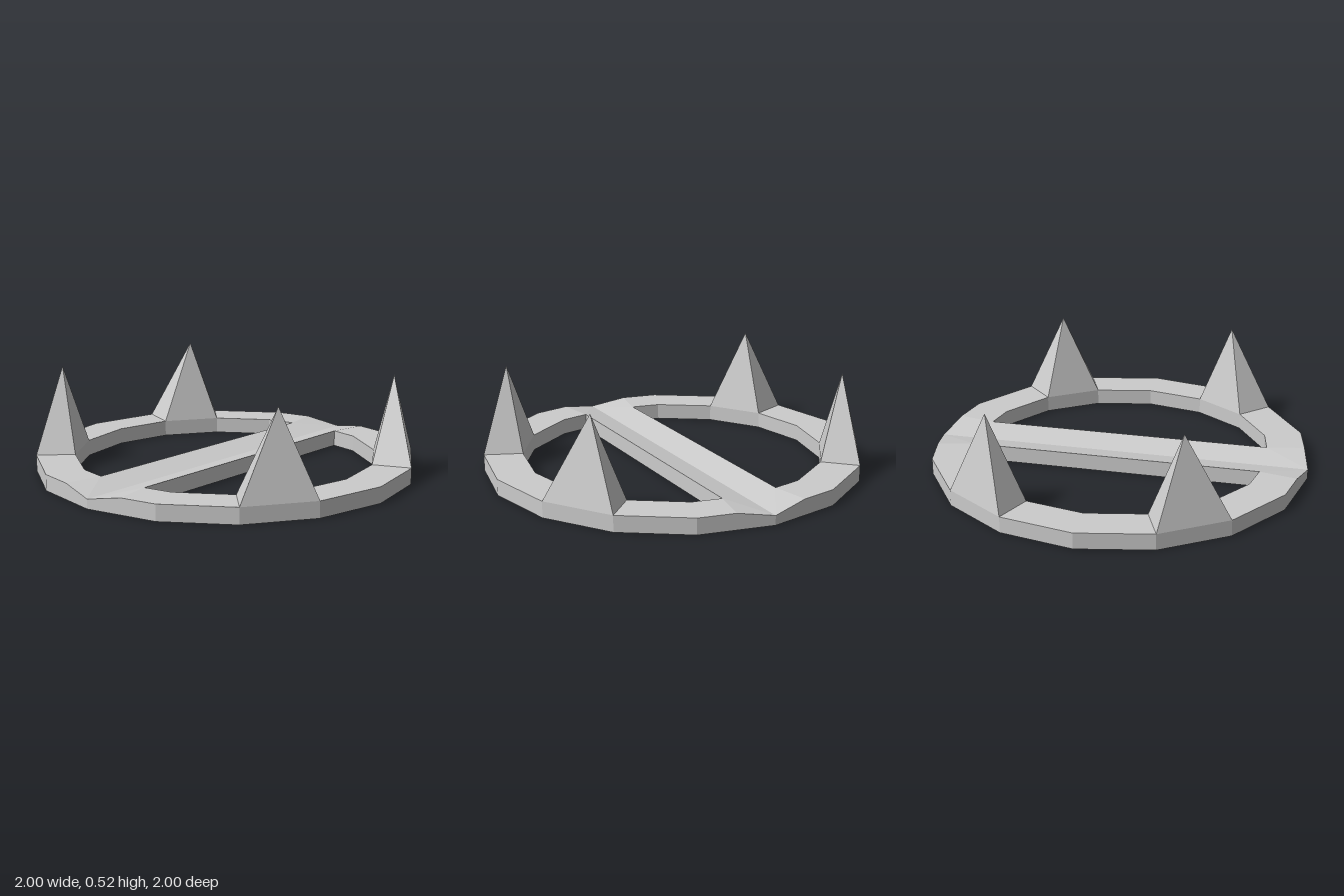
import * as THREE from 'three';

const OUTER = 1, INNER = 0.795, TOP = 0.085, DIP = 0.05, SPIKE = 0.525;
const SIDES = 16, STEPS = SIDES * 2; // each side is split at its middle

// Point on a 16-sided polygon; odd steps are the middles of its sides
function ringPoint(step, radius, y) {
  const angle = (step / STEPS) * Math.PI * 2;
  const r = step % 2 ? radius * Math.cos(Math.PI / SIDES) : radius;
  return new THREE.Vector3(r * Math.cos(angle), y, r * Math.sin(angle));
}

// The ring's top sinks where the groove of the crossbar meets it
const topY = (step) => (step % (STEPS / 2) === 0 ? DIP : TOP);

// Flat-shaded mesh from polygons, each split as a fan from its first corner
function facetMesh(name, polygons) {
  const points = [];
  for (const p of polygons)
    for (let i = 1; i < p.length - 1; i++) points.push(p[0], p[i], p[i + 1]);
  const geometry = new THREE.BufferGeometry().setFromPoints(points);
  geometry.computeVertexNormals();
  const material = new THREE.MeshStandardMaterial({ color: 0xcccccc, flatShading: true });
  const mesh = new THREE.Mesh(geometry, material);
  mesh.name = name;
  return mesh;
}

function createRing(spikeStarts) {
  const faces = [];
  for (let i = 0; i < STEPS; i++) {
    const j = i + 1;
    const [inI, inJ] = [i, j].map((s) => ringPoint(s, INNER, topY(s)));
    const [outI, outJ] = [i, j].map((s) => ringPoint(s, OUTER, topY(s)));
    const [lowInI, lowInJ] = [i, j].map((s) => ringPoint(s, INNER, 0));
    const [lowOutI, lowOutJ] = [i, j].map((s) => ringPoint(s, OUTER, 0));
    const underSpike = spikeStarts.some((s) => i === s || i === s + 1);
    if (!underSpike) {
      // fold the groove ends along the line towards the outermost point
      faces.push(topY(i) === DIP ? [inJ, outJ, outI, inI] : [inI, inJ, outJ, outI]);
    }
    faces.push([lowOutI, lowOutJ, lowInJ, lowInI]);
    faces.push([lowOutI, outI, outJ, lowOutJ]);
    // the inner wall is open where the crossbar joins
    if (topY(i) === TOP && topY(j) === TOP) faces.push([lowInJ, inJ, inI, lowInI]);
  }
  return facetMesh('ring', faces);
}

// Crossbar with a shallow V groove along its top
function createCrossbar() {
  const half = STEPS / 2;
  const rows = [-1, 0, 1].map((k) => {
    const right = ringPoint((k + STEPS) % STEPS, INNER, topY(k + STEPS));
    const left = ringPoint(half - k, INNER, topY(half - k));
    return { left, right, lowLeft: left.clone().setY(0), lowRight: right.clone().setY(0) };
  });
  const faces = [];
  for (let i = 0; i < 2; i++) {
    const a = rows[i], b = rows[i + 1];
    faces.push([a.left, b.left, b.right, a.right]);
    faces.push([a.lowRight, b.lowRight, b.lowLeft, a.lowLeft]);
  }
  const back = rows[0], front = rows[2];
  faces.push([front.lowLeft, front.lowRight, front.right, front.left]);
  faces.push([back.left, back.right, back.lowRight, back.lowLeft]);
  return facetMesh('crossbar', faces);
}

// Four-sided spike standing on one full side of the ring
function createSpike(name, start, apex) {
  const end = start + 2;
  const base = [
    ringPoint(start, INNER, TOP), ringPoint(end, INNER, TOP),
    ringPoint(end, OUTER, TOP), ringPoint(start, OUTER, TOP),
  ];
  return facetMesh(name, base.map((corner, i) => [corner, base[(i + 1) % 4], apex]));
}

export function createModel() {
  const model = new THREE.Group();
  model.name = 'spikedRing';
  const spikes = [
    ['frontLeftSpike', 4, 0.505, 0.72],
    ['frontRightSpike', 10, -0.475, 0.743],
    ['backRightSpike', 20, -0.475, -0.743],
    ['backLeftSpike', 26, 0.505, -0.72],
  ];
  model.add(createRing(spikes.map((s) => s[1])), createCrossbar());
  for (const [name, start, x, z] of spikes)
    model.add(createSpike(name, start, new THREE.Vector3(x, SPIKE, z)));
  return model;
}
